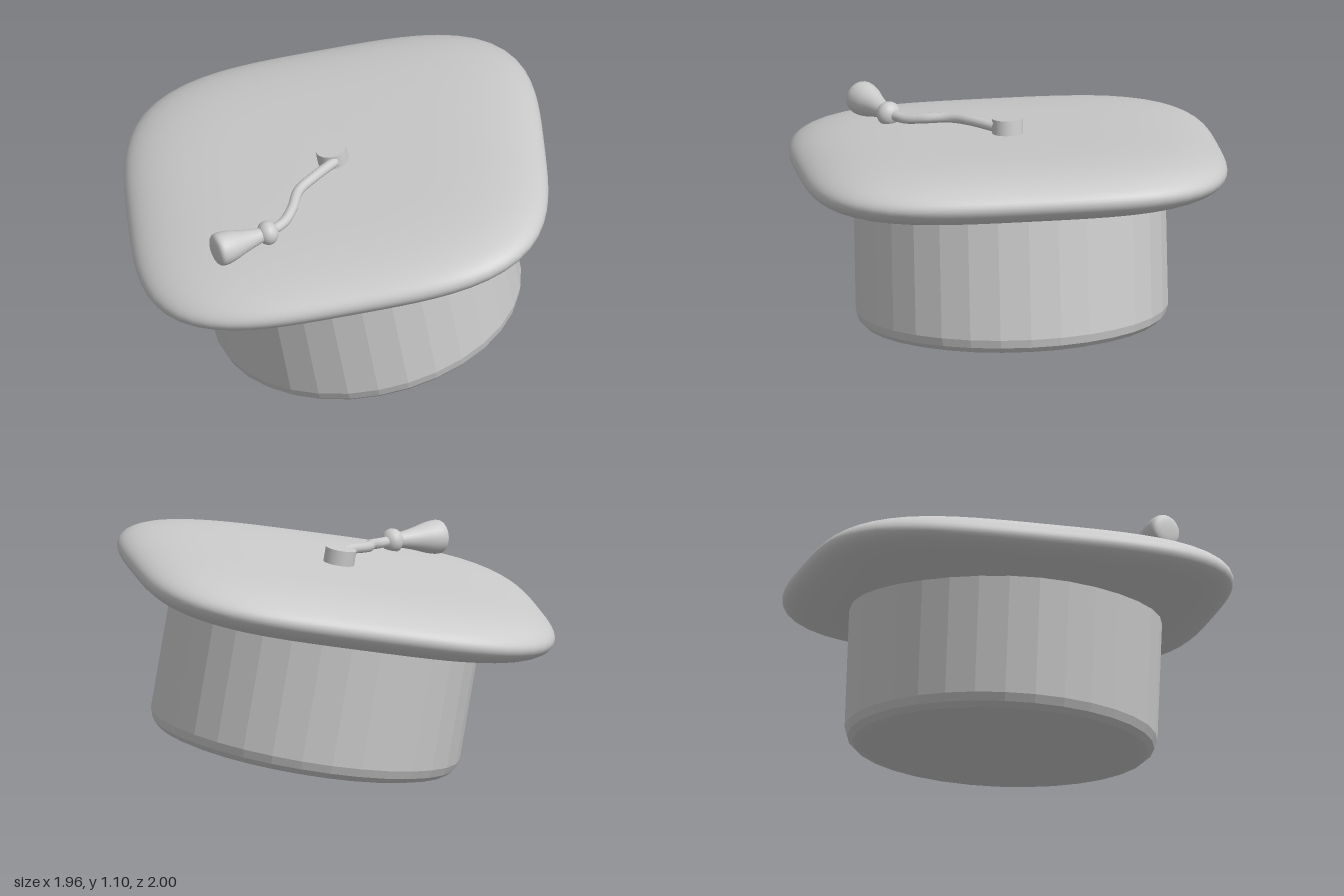
import * as THREE from 'three';
import { mergeVertices } from 'three/addons/utils/BufferGeometryUtils.js';

const V2 = (p) => new THREE.Vector2(p[0], p[1]);
const V3 = (p) => new THREE.Vector3(...p);

function addMesh(parent, name, geometry, flatShading = false) {
  const material = new THREE.MeshStandardMaterial({ color: 0xcccccc, flatShading });
  const mesh = new THREE.Mesh(geometry, material);
  mesh.name = name;
  parent.add(mesh);
  return mesh;
}

// Pillow-like board: a lathed lens whose circular outline is pushed out to a rounded square
function boardGeometry(halfX, halfZ, halfY) {
  const profile = [];
  const steps = 32;
  for (let i = 0; i <= steps; i++) {
    const a = -Math.PI / 2 + (Math.PI * i) / steps;
    const u = i === 0 || i === steps ? 0 : Math.pow(Math.cos(a), 0.4);
    profile.push(new THREE.Vector2(u, halfY * Math.sin(a)));
  }
  let geo = new THREE.LatheGeometry(profile, 80);
  const pos = geo.attributes.position;
  const n = 3.5;
  for (let i = 0; i < pos.count; i++) {
    const x = pos.getX(i), z = pos.getZ(i);
    const r = Math.hypot(x, z);
    if (r < 1e-6) continue;
    const k = 1 / Math.pow(Math.abs(x / r) ** n + Math.abs(z / r) ** n, 1 / n);
    pos.setX(i, x * k * halfX);
    pos.setZ(i, z * k * halfZ);
  }
  geo.deleteAttribute('uv');
  geo.deleteAttribute('normal');
  geo = mergeVertices(geo, 1e-5);
  geo.computeVertexNormals();
  return geo;
}

export function createModel() {
  const model = new THREE.Group();
  model.name = 'graduationCap';

  // Board, skull cap and button share one sideways tilt
  const cap = new THREE.Group();
  cap.name = 'tiltedCap';
  cap.position.y = 0.865;
  cap.rotation.z = THREE.MathUtils.degToRad(9.7);
  model.add(cap);

  addMesh(cap, 'board', boardGeometry(0.995, 1, 0.135));

  // Faceted skull cap with a rounded bottom rim
  const rim = [[0, -0.765], [0.66, -0.765], [0.695, -0.755], [0.722, -0.73], [0.735, -0.69], [0.735, 0], [0, 0]];
  const skullCap = addMesh(cap, 'skullCap', new THREE.LatheGeometry(rim.map(V2), 32), true);
  skullCap.position.x = 0.03;

  // Button in the middle of the board
  const button = addMesh(cap, 'button', new THREE.CylinderGeometry(0.073, 0.073, 0.1, 32));
  button.position.set(0.01, 0.156, 0);

  // Cord winding from the button to the tassel
  const path = new THREE.CatmullRomCurve3([
    [-0.01, 1.035, 0.06], [-0.11, 1.03, 0.16], [-0.195, 1.015, 0.25],
    [-0.235, 1.0, 0.37], [-0.28, 0.985, 0.45], [-0.36, 0.98, 0.52],
  ].map(V3));
  addMesh(model, 'cord', new THREE.TubeGeometry(path, 48, 0.025, 12));

  // Tassel: knot and flared skirt turned about one axis
  const tassel = new THREE.Group();
  tassel.name = 'tassel';
  tassel.position.set(-0.36, 0.98, 0.52);
  const axis = V3([-0.25, -0.012, 0.105]).normalize();
  tassel.quaternion.setFromUnitVectors(V3([0, 1, 0]), axis);
  model.add(tassel);

  const knot = addMesh(tassel, 'knot', new THREE.SphereGeometry(0.058, 24, 16));
  knot.scale.y = 0.85;
  const skirt = new THREE.SplineCurve([
    [0.035, 0.03], [0.042, 0.07], [0.056, 0.13], [0.073, 0.19],
    [0.08, 0.24], [0.073, 0.268], [0.045, 0.28], [0, 0.283],
  ].map(V2)).getPoints(28);
  skirt[skirt.length - 1].x = 0;
  addMesh(tassel, 'skirt', new THREE.LatheGeometry(skirt, 28));

  return model;
}
